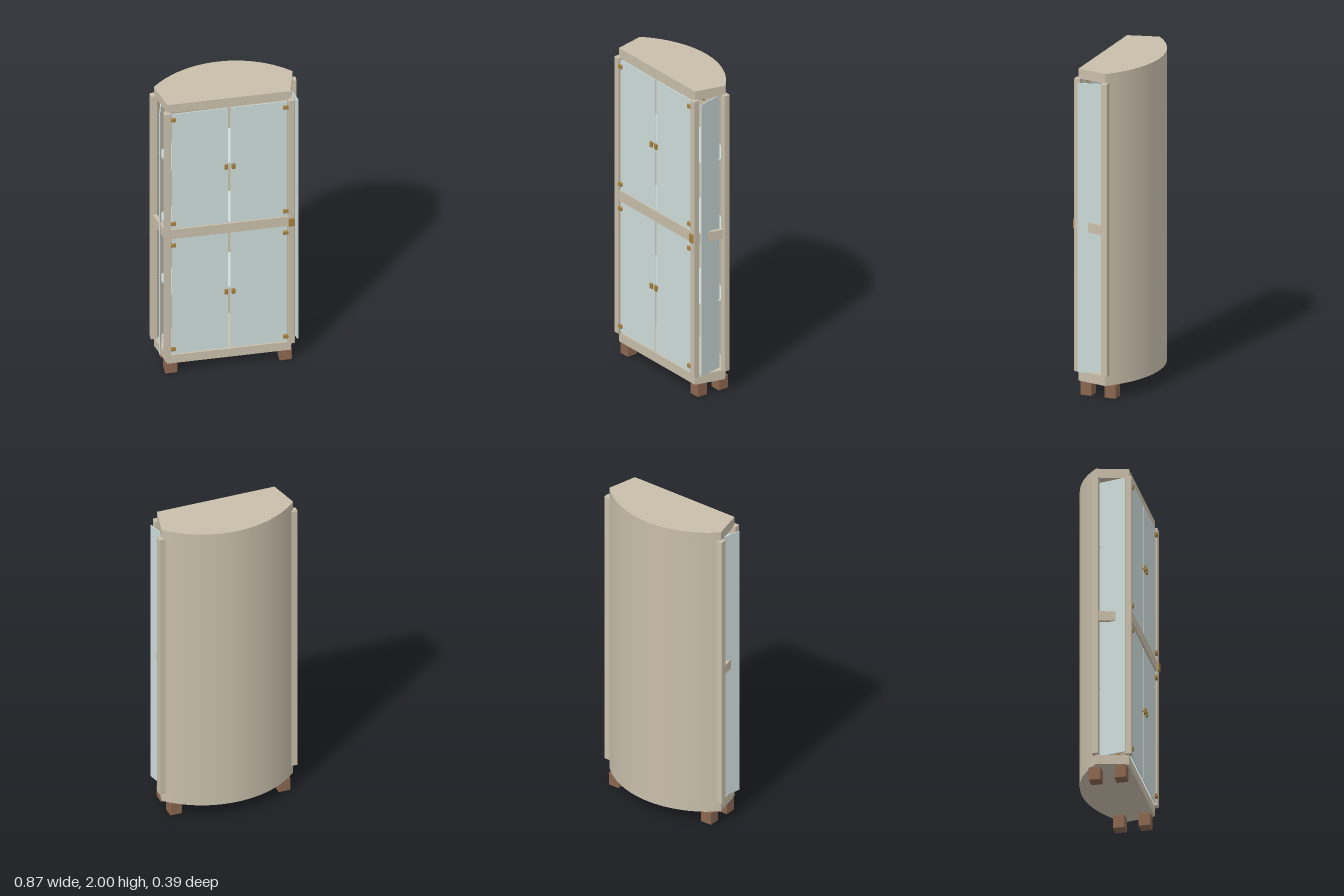
import * as THREE from 'three';
import { RoundedBoxGeometry } from 'three/addons/geometries/RoundedBoxGeometry.js';

const mat = (name, color) => {
  const m = new THREE.MeshStandardMaterial({ color });
  m.name = name;
  return m;
};

export function createModel() {
  const wood = mat('pale wood', 0xc8beaa);
  const glass = mat('pale glass', 0xcddcda);
  const brass = mat('brass', 0xa5803f);
  const brown = mat('brown feet', 0x8a6650);

  const cabinet = new THREE.Group();
  cabinet.name = 'cornerCabinet';

  const add = (name, geometry, material, x, y, z) => {
    const mesh = new THREE.Mesh(geometry, material);
    mesh.name = name;
    mesh.position.set(x, y, z);
    cabinet.add(mesh);
    return mesh;
  };
  const box = (name, material, w, h, d, x, y, z) =>
    add(name, new THREE.BoxGeometry(w, h, d), material, x, y, z);
  const soft = (name, material, w, h, d, x, y, z, r = 0.004) =>
    add(name, new RoundedBoxGeometry(w, h, d, 2, r), material, x, y, z);

  // Plan of the cabinet: flat front, angled sides, bowed back (shape y = -z)
  const R = 0.587, CZ = 0.39;
  const half = Math.asin(0.415 / R);
  const arc = (radius, a0, a1, n = 48) => Array.from({ length: n + 1 }, (_, i) => {
    const a = a0 + (a1 - a0) * i / n;
    return new THREE.Vector2(radius * Math.sin(a), radius * Math.cos(a) - CZ);
  });
  const plan = (s) => new THREE.Shape([
    new THREE.Vector2(-0.37 * s, -0.163 * s), new THREE.Vector2(0.37 * s, -0.163 * s),
    ...arc(R, half, -half).map((p) => p.multiplyScalar(s)),
  ]);
  const slab = (name, shape, material, y, h) => {
    const g = new THREE.ExtrudeGeometry(shape, { depth: h, bevelEnabled: false });
    g.rotateX(-Math.PI / 2);
    return add(name, g, material, 0, y, 0);
  };

  slab('base', plan(1), wood, 0.085, 0.06);
  slab('top', plan(1), wood, 1.94, 0.06);
  for (const y of [0.585, 1.04, 1.505]) slab('shelf', plan(0.93), glass, y, 0.01);

  // Bowed back wall, built from radial faces so the curve stays smooth
  const wallProfile = [[R - 0.018, 0.145], [R, 0.145], [R, 1.94], [R - 0.018, 1.94], [R - 0.018, 0.145]];
  for (let i = 0; i < 4; i++) {
    const pts = [wallProfile[i], wallProfile[i + 1]].map(([r, y]) => new THREE.Vector2(r, y));
    const g = new THREE.LatheGeometry(pts, 48, Math.PI - half, 2 * half);
    add('backWall', g, wood, 0, 0, CZ);
  }

  // Front rail with its lock plate
  box('frontRail', wood, 0.71, 0.068, 0.02, 0, 1.05, 0.169);
  soft('lockPlate', brass, 0.036, 0.056, 0.012, 0.368, 1.047, 0.187);

  for (const s of [-1, 1]) {
    // Posts
    soft('frontPost', wood, 0.04, 1.8, 0.038, s * 0.37, 1.045, 0.164, 0.003);
    soft('rearPost', wood, 0.04, 1.8, 0.038, s * 0.416, 1.045, -0.026, 0.003);

    // Side pane, swung outward at the front, with its pivot pins
    box('sidePane', glass, 0.005, 1.775, 0.17, s * 0.393, 1.0375, 0.069).rotation.y = s * 0.247;
    for (const y of [0.15, 1.934]) {
      add('pivotPin', new THREE.CylinderGeometry(0.01, 0.01, 0.012, 12), brass, s * 0.37, y, 0.1);
    }
    // Side rail following the cabinet side
    box('sideRail', wood, 0.022, 0.06, 0.17, s * 0.395, 1.04, 0.068).rotation.y = -s * 0.235;

    // Feet
    for (const z of [0.113, -0.041]) {
      soft('foot', brown, 0.075, 0.087, 0.072, s * 0.342, 0.0435, z, 0.006);
    }

    // Glass doors with hinges and knobs
    for (const [y, knobY, hinges] of [[0.585, 0.587, [0.2, 0.968]], [1.51, 1.512, [1.127, 1.895]]]) {
      box('door', glass, 0.338, 0.85, 0.005, s * 0.176, y, 0.169);
      for (const hy of hinges) {
        soft('hinge', brass, 0.032, 0.024, 0.014, s * 0.336, hy, 0.178, 0.003);
      }
      soft('knob', brass, 0.021, 0.036, 0.013, s * 0.022, knobY, 0.187, 0.004);
      const stem = new THREE.CylinderGeometry(0.004, 0.004, 0.014, 10);
      add('knobStem', stem, brass, s * 0.022, knobY, 0.177).rotation.x = Math.PI / 2;
    }
  }
  return cabinet;
}
